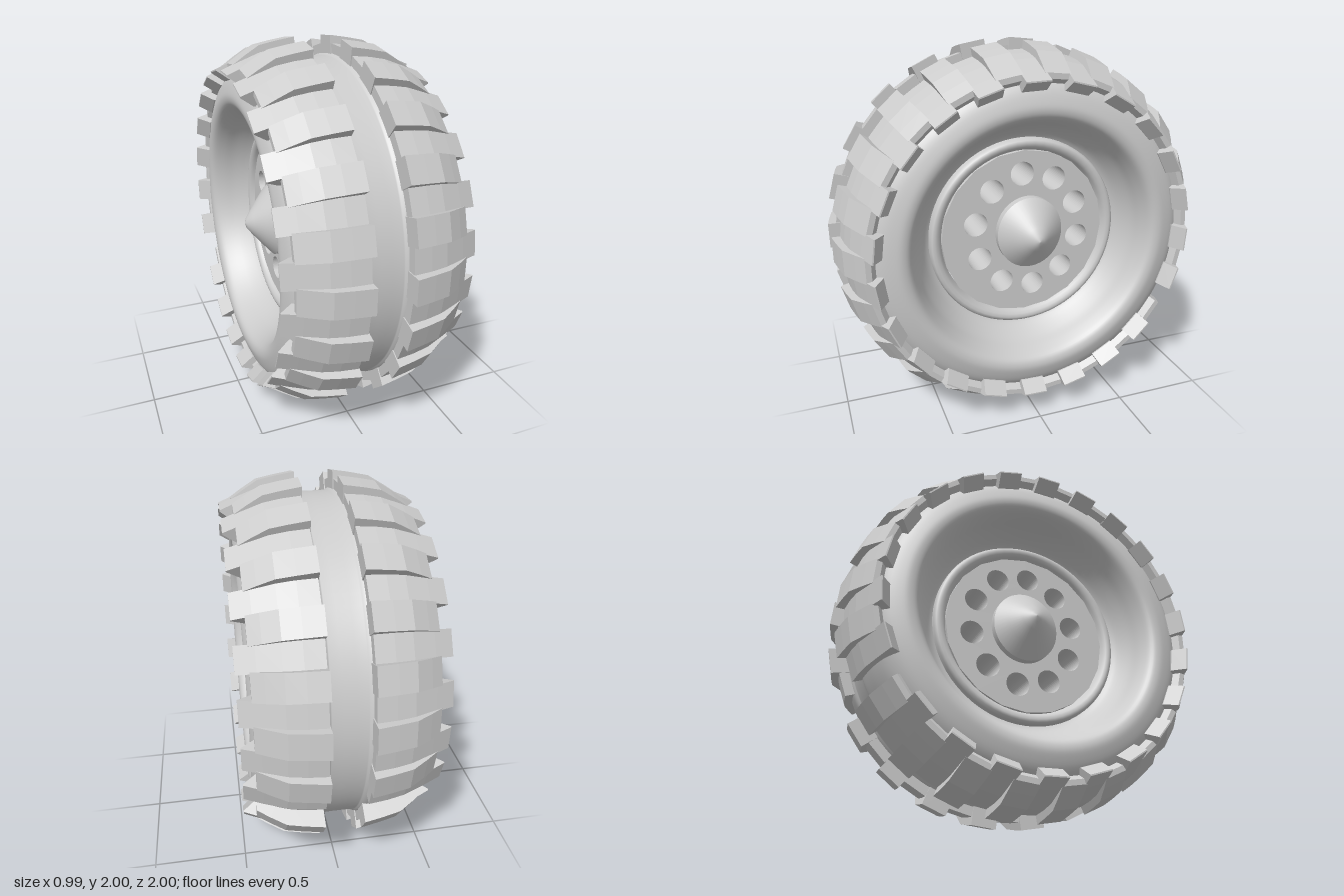
import * as THREE from 'three';

const grey = new THREE.MeshStandardMaterial({ color: 0xcccccc });
grey.name = 'plain grey';

const v2 = (x, y) => new THREE.Vector2(x, y);

function part(name, geometry, parent) {
  const mesh = new THREE.Mesh(geometry, grey);
  mesh.name = name;
  parent.add(mesh);
  return mesh;
}

// Solid of revolution around the x axle; profile is [x, radius], outer edge first
function turned(profile, segments) {
  const g = new THREE.LatheGeometry(profile.map(([x, r]) => v2(r, x)), segments);
  return g.rotateZ(-Math.PI / 2);
}

// Completes a half profile, given from the middle outwards, on the -x side
function bothSides(half) {
  return [...half.map(([x, r]) => [-x, r]).reverse(), ...half];
}

// Tread block: side profile in [x, radius], extruded across its width
function block(profile, side, width) {
  const shape = new THREE.Shape(profile.map(([x, r]) => v2(x * side, r)));
  const g = new THREE.ExtrudeGeometry(shape, { depth: width, bevelEnabled: false });
  return g.translate(0, 0, -width / 2);
}

export function createModel() {
  const root = new THREE.Group();
  root.name = 'offRoadWheel';
  const wheel = new THREE.Group();
  wheel.name = 'wheel';
  wheel.position.y = 1;
  root.add(wheel);

  // Tyre carcass with centre groove, sloping sidewalls, rolled bead and dished inside
  const shoulder = new THREE.SplineCurve([
    v2(0.085, 0.896), v2(0.12, 0.912), v2(0.2, 0.905), v2(0.28, 0.89), v2(0.36, 0.86), v2(0.41, 0.81),
    v2(0.437, 0.745), v2(0.443, 0.7), v2(0.425, 0.662), v2(0.37, 0.631), v2(0.3, 0.602),
    v2(0.22, 0.55), v2(0.19, 0.5),
  ]).getPoints(48).map((p) => [p.x, p.y]);
  const half = [[0.03, 0.895], ...shoulder];
  part('tyre', turned(bothSides(half), 96), wheel);

  // Two staggered sets of tread blocks per side, with one wider gap
  const tallProfile = [
    [0.1, 0.86], [0.1, 1.0], [0.2, 0.984], [0.29, 0.966], [0.37, 0.918], [0.43, 0.878], [0.43, 0.85], [0.36, 0.8], [0.3, 0.8],
  ];
  const longProfile = [
    [0.105, 0.86], [0.105, 0.957], [0.2, 0.947], [0.29, 0.93], [0.4, 0.89], [0.493, 0.852], [0.493, 0.845], [0.425, 0.795], [0.36, 0.8],
  ];
  const sets = [
    ['tallTreadBlock', tallProfile, 125.7, 0.136],
    ['longTreadBlock', longProfile, 133.7, 0.128],
  ];
  for (const side of [1, -1]) {
    for (const [name, profile, start, width] of sets) {
      const g = block(profile, side, width);
      for (let k = 0; k < 22; k++) {
        part(name, g, wheel).rotation.x = -THREE.MathUtils.degToRad(start + 16 * k);
      }
    }
  }

  // Faceted wheel disc with ten holes drilled right through
  const depth = 0.44;
  const disc = new THREE.Shape();
  for (let i = 0; i < 20; i++) {
    const a = (i / 20) * Math.PI * 2;
    disc[i ? 'lineTo' : 'moveTo'](0.46 * Math.cos(a), 0.46 * Math.sin(a));
  }
  for (let i = 0; i < 10; i++) {
    const a = THREE.MathUtils.degToRad(-6 + 36 * i);
    const hole = new THREE.Path();
    hole.absarc(0.02 + 0.298 * Math.sin(a), 0.012 + 0.323 * Math.cos(a), 0.065, 0, Math.PI * 2, true);
    disc.holes.push(hole);
  }
  const discGeo = new THREE.ExtrudeGeometry(disc, { depth, bevelEnabled: false, curveSegments: 24 });
  part('wheelDisc', discGeo.translate(0, 0, -depth / 2).rotateY(Math.PI / 2), wheel);

  // Rim lip and hub cap, made once and turned round for the other side
  const lip = turned([
    [0.17, 0.527], [0.23, 0.525], [0.245, 0.515], [0.249, 0.5], [0.244, 0.482], [0.23, 0.468], [0.2, 0.457],
  ], 64);
  const collar = new THREE.CylinderGeometry(0.197, 0.197, 0.06, 40).rotateZ(-Math.PI / 2).translate(0.23, 0, 0);
  const cone = turned([[0.26, 0.197], [0.318, 0.13], [0.37, 0.066], [0.397, 0.03], [0.407, 0]], 40);
  for (const side of [1, -1]) {
    const face = new THREE.Group();
    face.name = side > 0 ? 'leftWheelFace' : 'rightWheelFace';
    if (side < 0) face.rotation.y = Math.PI;
    wheel.add(face);
    part('rimLip', lip, face);

    // The cap sits slightly off centre, in line with the ring of holes
    const hub = new THREE.Group();
    hub.name = 'hubCap';
    hub.position.set(0, 0.012, -0.02 * side);
    hub.scale.z = 0.93;
    face.add(hub);
    part('hubCollar', collar, hub);
    part('hubCone', cone, hub);
  }
  return root;
}
